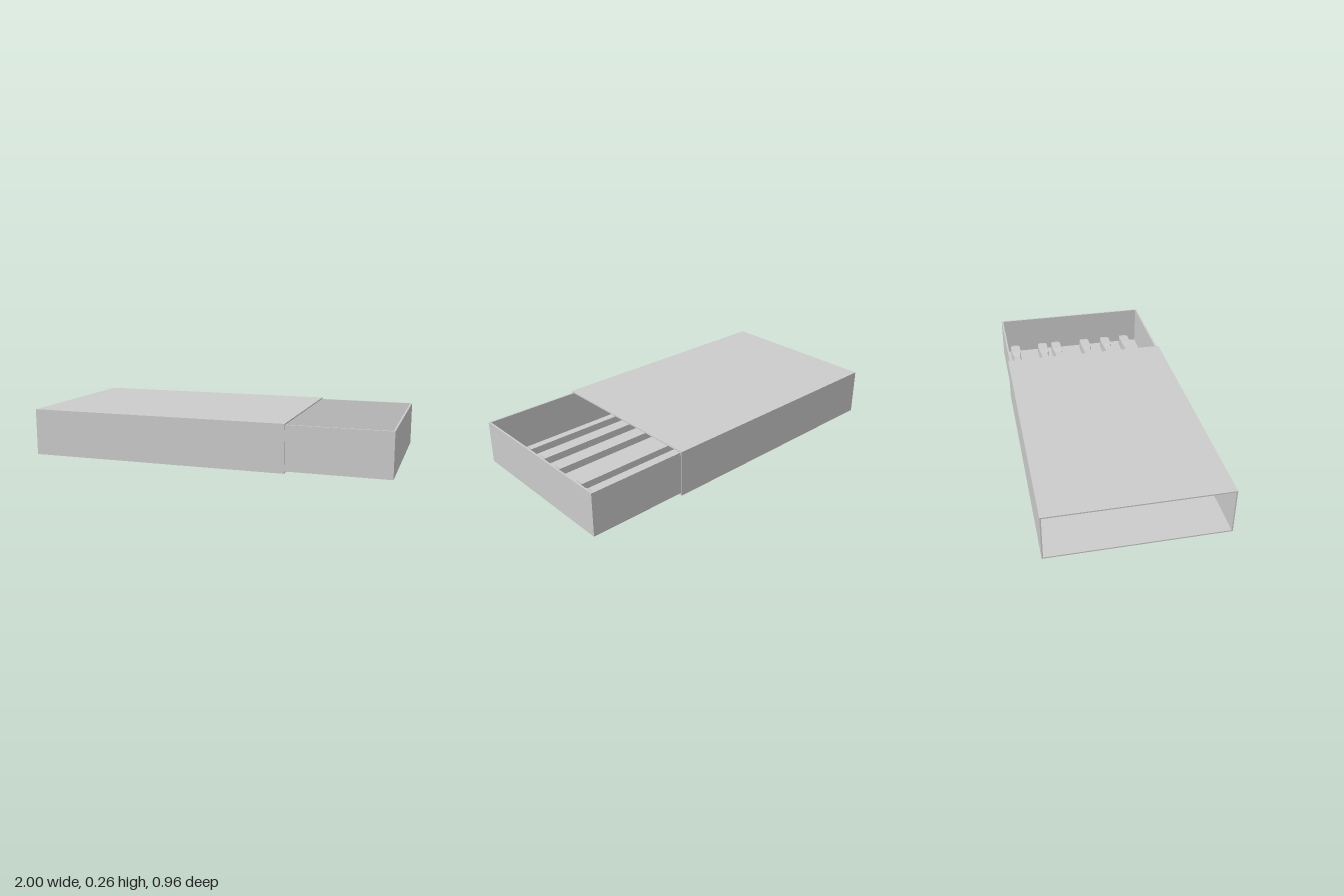
import * as THREE from 'three';

const material = new THREE.MeshStandardMaterial({ color: 0xcccccc, flatShading: true });

// Rectangular tube, centred on the origin of its section and extruded along z
function frame(width, height, wall, depth) {
  const rect = (Type, w, h) => new Type([
    new THREE.Vector2(-w / 2, -h / 2), new THREE.Vector2(w / 2, -h / 2),
    new THREE.Vector2(w / 2, h / 2), new THREE.Vector2(-w / 2, h / 2),
  ]);
  const shape = rect(THREE.Shape, width, height);
  shape.holes.push(rect(THREE.Path, width - 2 * wall, height - 2 * wall));
  return new THREE.ExtrudeGeometry(shape, { depth, bevelEnabled: false });
}

// Square stick along x with a flared, blunt head: [x, half width] stations
function matchGeometry() {
  const stations = [
    [-0.42, 0], [-0.42, 0.021], [0.825, 0.021], [0.862, 0.03],
    [0.945, 0.03], [0.975, 0.021], [0.975, 0],
  ];
  const profile = stations.map(([x, half]) => new THREE.Vector2(half * Math.SQRT2, x));
  return new THREE.LatheGeometry(profile, 4, Math.PI / 4).rotateZ(-Math.PI / 2);
}

export function createModel() {
  const model = new THREE.Group();
  model.name = 'matchbox';
  const add = (name, geometry, x, y, z, parent = model) => {
    const mesh = new THREE.Mesh(geometry, material);
    mesh.name = name;
    mesh.position.set(x, y, z);
    parent.add(mesh);
  };

  // Outer sleeve, open at both ends
  add('sleeve', frame(0.96, 0.26, 0.007, 1.45).rotateY(Math.PI / 2), -1, 0.13, 0);

  // Sliding tray, pulled part way out
  const tray = new THREE.Group();
  tray.name = 'tray';
  model.add(tray);
  const wall = 0.01;
  add('trayWalls', frame(1.45, 0.94, wall, 0.243).rotateX(-Math.PI / 2), 0.275, 0.01, 0, tray);
  add('trayFloor', new THREE.BoxGeometry(1.45 - 2 * wall, wall, 0.94 - 2 * wall), 0.275, 0.015, 0, tray);

  // Loose matches lying on the tray floor
  const geometry = matchGeometry();
  for (const z of [-0.395, -0.208, -0.115, 0.085, 0.23, 0.366]) {
    add('match', geometry, 0, 0.05, z);
  }
  return model;
}
